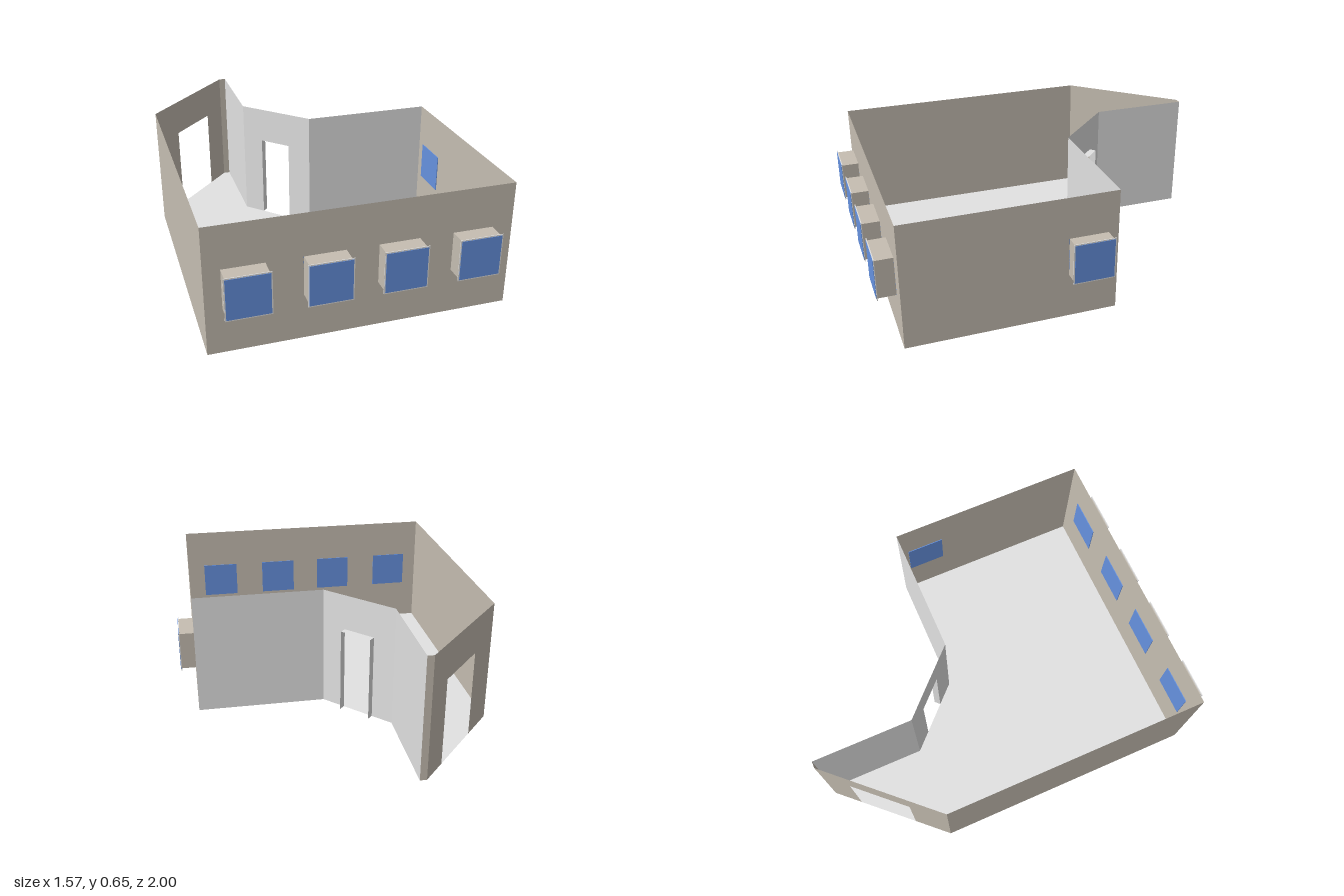
import * as THREE from 'three';

const mat = (name, color) => {
  const m = new THREE.MeshStandardMaterial({ color, side: THREE.DoubleSide });
  m.name = name;
  return m;
};

export function createModel() {
  const tan = mat('tan plaster', 0xc6beb2);
  const grey = mat('light grey', 0xe2e2e2);
  const blue = mat('blue glass', 0x6692e0);
  const H = 0.65, DOOR_H = 0.46;
  const model = new THREE.Group();
  model.name = 'room';

  const add = (parent, name, geometry, material, x = 0, y = 0, z = 0) => {
    const mesh = new THREE.Mesh(geometry, material);
    mesh.name = name;
    mesh.position.set(x, y, z);
    parent.add(mesh);
    return mesh;
  };
  const box = (w, h, d) => new THREE.BoxGeometry(w, h, d);

  // Room outline as [x, z], walked so each wall's local +z points outdoors
  const outline = [
    [-0.785, 0.905], [0.70, 0.905], [0.70, -0.165], [0.02, -0.165],
    [-0.285, -0.475], [-0.285, -1], [-0.32, -1], [-0.785, -0.495],
  ];

  // Floor sheet
  const floorShape = new THREE.Shape(outline.map(([x, z]) => new THREE.Vector2(x, z)));
  add(model, 'floor', new THREE.ShapeGeometry(floorShape).rotateX(Math.PI / 2), grey);

  // Window: projecting box, thin frame, outer pane, and pane flush with the room side
  const addWindow = (wall, x, depth) => {
    const g = new THREE.Group();
    g.name = 'window';
    g.position.set(x, 0.333, 0);
    wall.add(g);
    add(g, 'windowBox', box(0.2, 0.2, depth - 0.006), tan, 0, 0, (depth - 0.006) / 2);
    add(g, 'windowFrame', box(0.216, 0.216, 0.004), grey, 0, 0, depth - 0.004);
    add(g, 'windowPane', box(0.204, 0.204, 0.004), blue, 0, 0, depth - 0.002);
    add(g, 'innerPane', box(0.204, 0.2, 0.004), blue, 0, 0, -0.002);
  };

  // Open sleeve around a doorway: two jambs and a head
  const addDoorSleeve = (wall, a, b, depth) => {
    for (const x of [a, b]) {
      add(wall, 'doorJamb', new THREE.PlaneGeometry(depth, DOOR_H).rotateY(Math.PI / 2),
        grey, x, DOOR_H / 2, depth / 2);
    }
    add(wall, 'doorHead', new THREE.PlaneGeometry(b - a, depth).rotateX(-Math.PI / 2),
      grey, (a + b) / 2, DOOR_H, depth / 2);
  };

  // Wall sheets between outline corners, with an optional doorway (fractions of length)
  const specs = [
    { name: 'frontWall', m: tan, depth: 0.095, windows: [0.18, 0.555, 0.913, 1.282] },
    { name: 'leftWall', m: tan, depth: 0.08, windows: [0.917] },
    { name: 'backWall', m: grey },
    { name: 'angledEntranceWall', m: grey, door: [0.31, 0.72], sleeve: 0.036 },
    { name: 'passageWall', m: grey },
    { name: 'endWall', m: tan },
    { name: 'angledBackWall', m: tan, door: [0.23, 0.70] },
    { name: 'rightWall', m: tan },
  ];
  specs.forEach((s, i) => {
    const [x0, z0] = outline[i], [x1, z1] = outline[(i + 1) % outline.length];
    const len = Math.hypot(x1 - x0, z1 - z0);
    const wall = new THREE.Group();
    wall.name = s.name;
    wall.position.set(x0, 0, z0);
    wall.rotation.y = Math.atan2(z0 - z1, x1 - x0);
    model.add(wall);

    const pts = [[0, 0]];
    if (s.door) {
      const [a, b] = s.door.map(t => t * len);
      pts.push([a, 0], [a, DOOR_H], [b, DOOR_H], [b, 0]);
      if (s.sleeve) addDoorSleeve(wall, a, b, s.sleeve);
    }
    pts.push([len, 0], [len, H], [0, H]);
    const shape = new THREE.Shape(pts.map(([x, y]) => new THREE.Vector2(x, y)));
    add(wall, s.name + 'Sheet', new THREE.ShapeGeometry(shape), s.m);
    for (const x of s.windows ?? []) addWindow(wall, x, s.depth);
  });

  return model;
}
